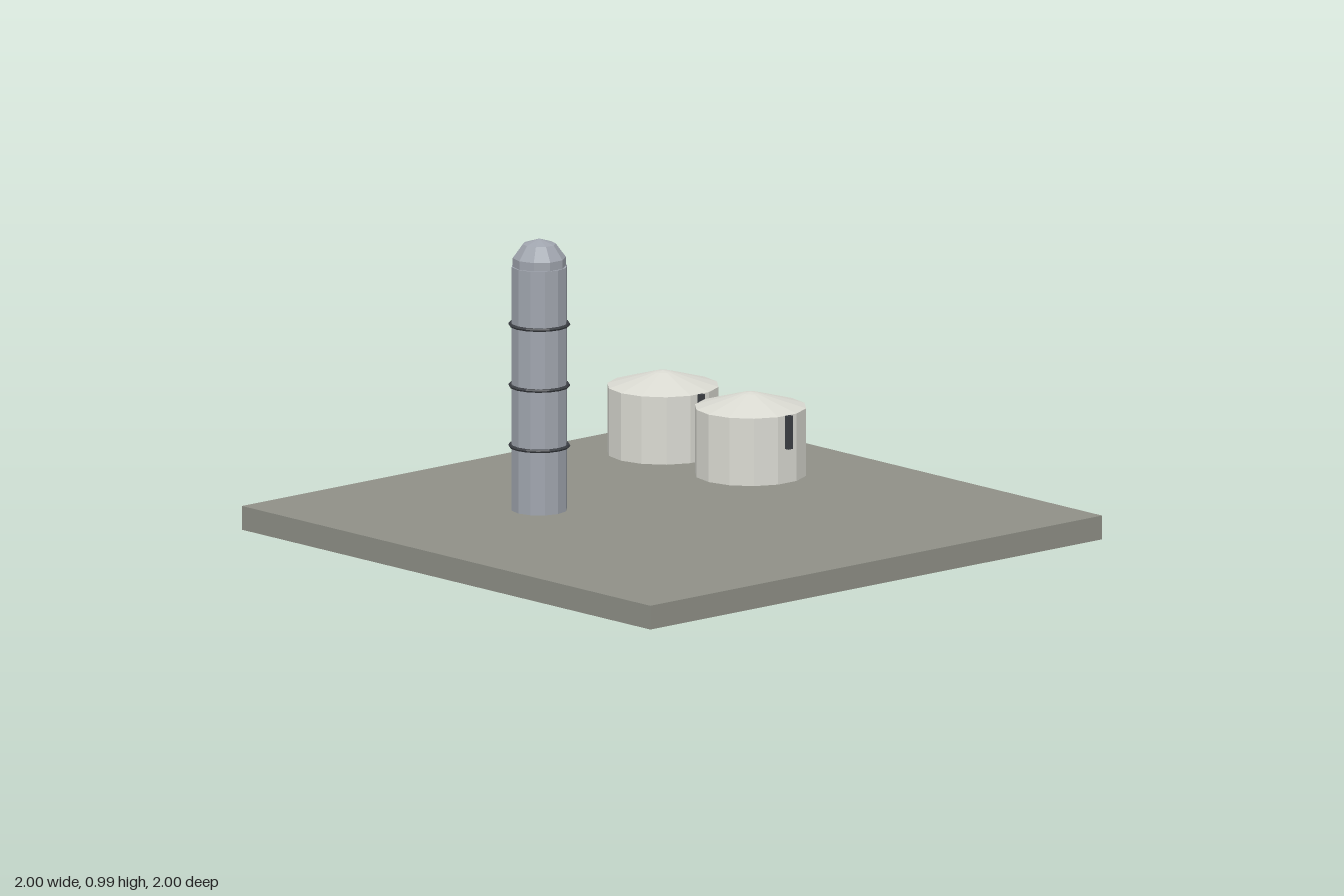
import * as THREE from 'three';

const mat = (color) => new THREE.MeshStandardMaterial({ color, flatShading: true });

function add(parent, name, geometry, material, x = 0, y = 0, z = 0) {
  const mesh = new THREE.Mesh(geometry, material);
  mesh.name = name;
  mesh.position.set(x, y, z);
  parent.add(mesh);
  return mesh;
}

// Upright cylinder whose first corner points along x
const drum = (r, h, sides) => new THREE.CylinderGeometry(r, r, h, sides, 1, false, Math.PI / 2);

export function createModel() {
  const model = new THREE.Group();
  model.name = 'storageYard';
  const concrete = mat(0x8f9087);
  const steel = mat(0xa0a5ae);
  const dark = mat(0x3c3f44);
  const white = mat(0xdadad2);

  // Ground slab
  add(model, 'slab', new THREE.BoxGeometry(2, 0.08, 2), concrete, 0, 0.04, 0);

  // Tall column with domed cap and three hoops
  const column = new THREE.Group();
  column.name = 'column';
  column.position.set(-0.31, 0, -0.307);
  model.add(column);
  add(column, 'columnShell', drum(0.0925, 0.82, 12), steel, 0, 0.49, 0);
  add(column, 'columnDome', new THREE.SphereGeometry(0.0925, 10, 5), steel, 0, 0.9, 0);
  for (const y of [0.297, 0.5, 0.705]) {
    const hoop = add(column, 'hoop', new THREE.TorusGeometry(0.096, 0.006, 6, 16), dark, 0, y, 0);
    hoop.rotation.x = Math.PI / 2;
  }

  // Two storage tanks, each with a shallow cone roof and a ladder in front
  const roofProfile = [[0.185, 0.307], [0.027, 0.353], [0, 0.357]].map(([r, y]) => new THREE.Vector2(r, y));
  for (const z of [-0.235, -0.664]) {
    const tank = new THREE.Group();
    tank.name = 'tank';
    tank.position.set(0.56, 0, z);
    model.add(tank);
    add(tank, 'tankShell', drum(0.185, 0.227, 14), white, 0, 0.1935, 0);
    add(tank, 'tankRoof', new THREE.LatheGeometry(roofProfile, 14, Math.PI / 2), white);
    add(tank, 'ladder', new THREE.BoxGeometry(0.02, 0.112, 0.02), dark, 0, 0.251, 0.186);
  }
  return model;
}
